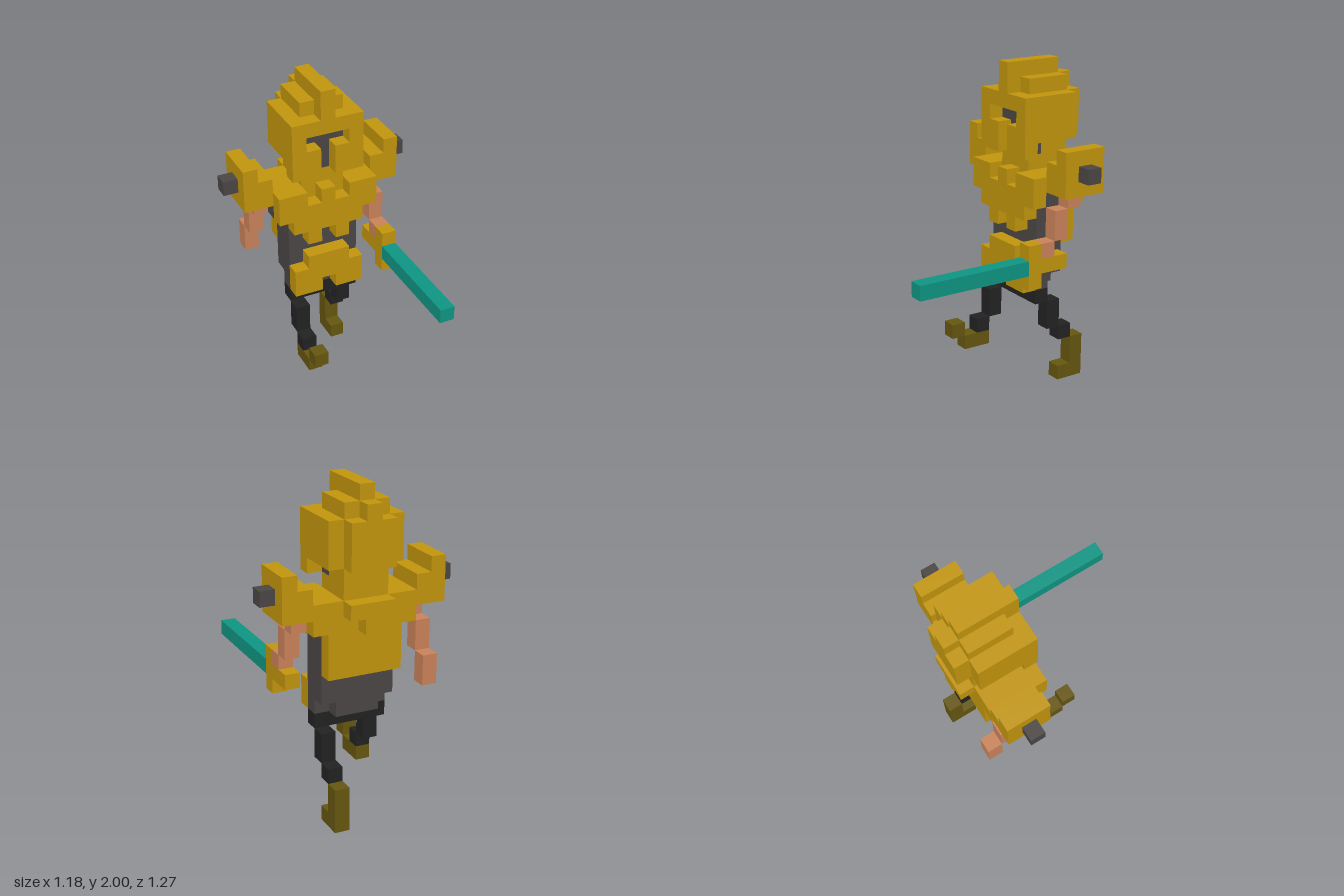
import * as THREE from 'three';

const U = 1 / 11; // size of one block

const material = (name, color) => {
  const m = new THREE.MeshStandardMaterial({ color });
  m.name = name;
  return m;
};

export function createModel() {
  const gold = material('gold armour', 0xc1950d);
  const grey = material('dark grey cloth', 0x4a4644);
  const black = material('black trousers', 0x222222);
  const skin = material('skin', 0xc9825a);
  const olive = material('olive boots', 0x65560f);
  const teal = material('teal blade', 0x0f9583);

  const model = new THREE.Group();
  model.name = 'blockWarrior';

  const group = (name) => {
    const g = new THREE.Group();
    g.name = name;
    model.add(g);
    return g;
  };

  // A box filling the inclusive block ranges x (0 = middle), y (0 = ground), z (0 = back)
  const block = (parent, name, mat, [x0, x1], [y0, y1], [z0, z1]) => {
    const geo = new THREE.BoxGeometry((x1 - x0 + 1) * U, (y1 - y0 + 1) * U, (z1 - z0 + 1) * U);
    const mesh = new THREE.Mesh(geo, mat);
    mesh.name = name;
    mesh.position.set((x0 + x1) / 2 * U, (y0 + y1 + 1) / 2 * U, ((z0 + z1 + 1) / 2 - 7) * U);
    parent.add(mesh);
  };
  // The same box on both sides of the body
  const pair = (parent, name, mat, [x0, x1], y, z) => {
    block(parent, name + 'Left', mat, [x0, x1], y, z);
    block(parent, name + 'Right', mat, [-x1, -x0], y, z);
  };

  // Helmet with an open T-shaped visor
  const helmet = group('helmet');
  block(helmet, 'helmetTop', gold, [-2, 2], [19, 19], [1, 4]);
  block(helmet, 'helmetBowl', gold, [-2, 2], [17, 18], [1, 2]);
  pair(helmet, 'helmetSide', gold, [2, 2], [17, 18], [3, 4]);
  pair(helmet, 'cheekGuard', gold, [1, 1], [16, 17], [4, 4]);
  pair(helmet, 'cheekTip', gold, [2, 2], [16, 16], [4, 4]);
  block(helmet, 'helmetBack', gold, [-1, 1], [17, 19], [0, 0]);
  pair(helmet, 'crestStep', gold, [1, 1], [20, 20], [1, 3]);
  block(helmet, 'crestBase', gold, [0, 0], [20, 20], [0, 4]);
  block(helmet, 'crestRidge', gold, [0, 0], [21, 21], [1, 4]);
  block(helmet, 'face', grey, [-1, 1], [16, 18], [3, 3]);

  // Neck guard
  const neck = group('neckGuard');
  block(neck, 'neckFront', gold, [-1, 1], [15, 15], [1, 3]);
  block(neck, 'neckUpper', gold, [-1, 1], [16, 16], [1, 2]);
  block(neck, 'napeCollar', gold, [-1, 1], [14, 14], [0, 0]);
  block(neck, 'napeDrop', gold, [0, 0], [13, 13], [0, 0]);

  // Torso cloth
  const torso = group('torso');
  block(torso, 'upperTorso', grey, [-3, 3], [13, 13], [2, 3]);
  block(torso, 'middleTorso', grey, [-2, 2], [8, 12], [2, 3]);
  block(torso, 'lowerTorso', grey, [-2, 2], [7, 7], [3, 3]);
  block(torso, 'backHem', grey, [-1, 1], [7, 7], [2, 2]);

  // Chest, back and belt armour
  const armour = group('bodyArmour');
  block(armour, 'yoke', gold, [-3, 3], [14, 14], [1, 3]);
  block(armour, 'chestPlate', gold, [-3, 3], [13, 13], [4, 4]);
  pair(armour, 'chestTop', gold, [2, 3], [14, 14], [4, 4]);
  block(armour, 'collarPin', gold, [0, 0], [14, 14], [4, 4]);
  block(armour, 'ribPlate', gold, [-2, 2], [12, 12], [4, 4]);
  pair(armour, 'ribTab', gold, [1, 1], [11, 11], [4, 4]);
  block(armour, 'backUpper', gold, [-3, 3], [13, 13], [1, 1]);
  block(armour, 'backPlate', gold, [-2, 2], [10, 12], [1, 1]);
  block(armour, 'beltBuckle', gold, [-1, 1], [9, 9], [4, 4]);
  block(armour, 'beltPlate', gold, [-2, 2], [8, 8], [4, 4]);
  pair(armour, 'beltTab', gold, [1, 2], [7, 7], [4, 4]);

  // Shoulder guards with spikes
  const shoulders = group('shoulderGuards');
  pair(shoulders, 'shoulderPlate', gold, [4, 5], [14, 15], [1, 3]);
  pair(shoulders, 'shoulderRim', gold, [5, 5], [16, 16], [1, 3]);
  pair(shoulders, 'shoulderSpike', grey, [6, 6], [15, 15], [2, 2]);

  // Arms: left swings forward, right swings back
  const arms = group('arms');
  pair(arms, 'upperArm', skin, [4, 4], [13, 13], [2, 2]);
  block(arms, 'forearmLeft', skin, [4, 4], [11, 12], [3, 3]);
  block(arms, 'handLeft', skin, [4, 4], [10, 10], [4, 4]);
  block(arms, 'forearmRight', skin, [-4, -4], [11, 12], [1, 1]);
  block(arms, 'handRight', skin, [-4, -4], [9, 10], [0, 0]);

  // Sword
  const sword = group('sword');
  block(sword, 'grip', gold, [4, 4], [9, 9], [3, 4]);
  block(sword, 'crossGuard', gold, [4, 4], [8, 10], [5, 5]);
  block(sword, 'blade', teal, [4, 4], [9, 9], [6, 13]);

  // Hips and running legs
  const legs = group('legs');
  block(legs, 'hips', black, [-2, 2], [6, 6], [3, 3]);
  block(legs, 'thighLeft', black, [2, 2], [4, 5], [2, 2]);
  block(legs, 'kneeLeft', black, [2, 2], [3, 3], [1, 1]);
  block(legs, 'bootShaftLeft', olive, [2, 2], [0, 2], [0, 0]);
  block(legs, 'bootToeLeft', olive, [2, 2], [0, 0], [1, 1]);
  block(legs, 'thighRight', black, [-2, -2], [4, 5], [4, 4]);
  block(legs, 'kneeRight', black, [-2, -2], [3, 3], [5, 5]);
  block(legs, 'bootShaftRight', olive, [-2, -2], [2, 2], [5, 6]);
  block(legs, 'bootToeRight', olive, [-2, -2], [3, 3], [7, 7]);

  return model;
}
